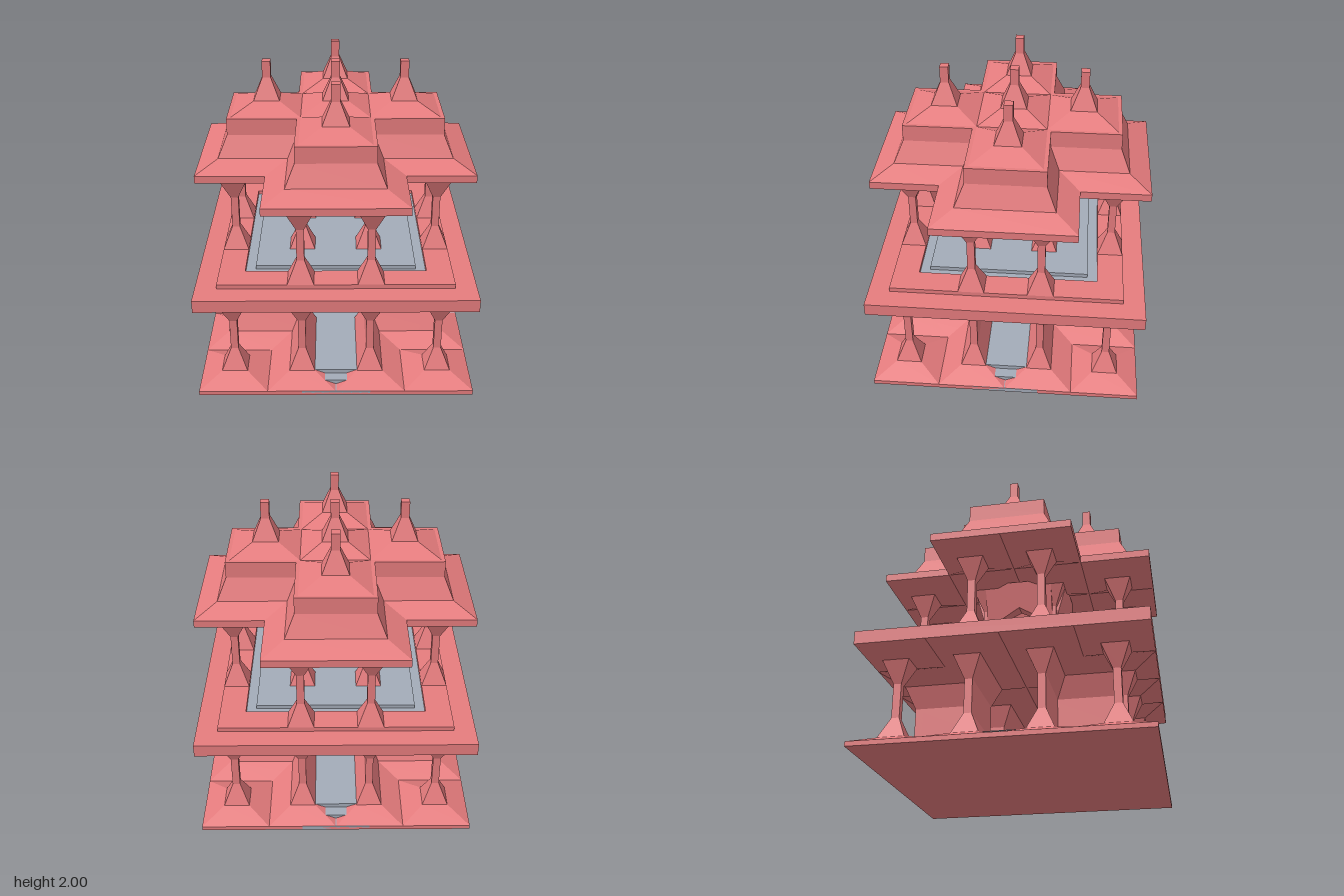
import * as THREE from 'three';

const red = new THREE.MeshStandardMaterial({ color: 0xe67c7e, flatShading: true });
const grey = new THREE.MeshStandardMaterial({ color: 0xa3abb8, flatShading: true });

// Outlines on the ground plane, all wound the same way
const rect = (hx, hz = hx) => [[hx, -hz], [hx, hz], [-hx, hz], [-hx, -hz]];
const cross = (l, w = l - 0.45) => [
  [l, -w], [l, w], [w, w], [w, l], [-w, l], [-w, w],
  [-l, w], [-l, -w], [-w, -w], [-w, -l], [w, -l], [w, -w],
];

// Stack of outlines joined by flat sides and closed with caps; levels are [outline, y]
function loft(levels) {
  const pos = [];
  const put = (loop, y, i) => pos.push(loop[i][0], y, loop[i][1]);
  for (let k = 0; k < levels.length - 1; k++) {
    const [lo, y0] = levels[k], [hi, y1] = levels[k + 1];
    lo.forEach((_, i) => {
      const j = (i + 1) % lo.length;
      put(lo, y0, i); put(hi, y1, i); put(hi, y1, j);
      put(lo, y0, i); put(hi, y1, j); put(lo, y0, j);
    });
  }
  const cap = ([loop, y], up) => {
    const contour = loop.map(([x, z]) => new THREE.Vector2(x, z));
    for (const [a, b, c] of THREE.ShapeUtils.triangulateShape(contour, [])) {
      for (const i of up ? [c, b, a] : [a, b, c]) put(loop, y, i);
    }
  };
  cap(levels[0], false);
  cap(levels[levels.length - 1], true);
  const geo = new THREE.BufferGeometry();
  geo.setAttribute('position', new THREE.Float32BufferAttribute(pos, 3));
  geo.computeVertexNormals();
  return geo;
}

// Half-width and height pairs
const LOWER = [[0.225, 0.03], [0.085, 0.09], [0.025, 0.23], [0.025, 0.45], [0.085, 0.59], [0.225, 0.65]];
const UPPER = [[0.085, 0.765], [0.025, 0.91], [0.025, 1.13], [0.085, 1.27], [0.225, 1.33]];
const SPIRE = [[0.225, 1.69], [0.085, 1.75], [0.028, 1.89], [0.028, 2]];
const post = (profile, ex = 0, ez = 0) => loft(profile.map(([h, y]) => [rect(h + ex, h + ez), y]));
const block = (hx, hz, y0, y1) => loft([[rect(hx, hz), y0], [rect(hx, hz), y1]]);

export function createModel() {
  const root = new THREE.Group();
  const add = (name, geo, mat = red, x = 0, z = 0, parent = root) => {
    const mesh = new THREE.Mesh(geo, mat);
    mesh.name = name;
    mesh.position.set(x, 0, z);
    parent.add(mesh);
    return mesh;
  };
  const group = (name) => {
    const g = new THREE.Group();
    g.name = name;
    root.add(g);
    return g;
  };

  // Ground plate and cross-shaped floor with three steps at each entrance
  add('basePlate', block(0.9, 0.9, 0, 0.03));
  const steps = group('entranceFloor');
  [0.9, 0.825, 0.75].forEach((reach, i) => {
    const y0 = i * 0.03 + 0.001, y1 = (i + 1) * 0.03 + 0.001;
    add('stepAlongZ', block(0.225, reach, y0, y1), grey, 0, 0, steps);
    add('stepAlongX', block(reach, 0.225, y0, y1), grey, 0, 0, steps);
  });

  // Lower storey: a four by four grid of flared pillars
  const spots = [-0.675, -0.225, 0.225, 0.675];
  const lowerPillars = group('lowerPillars');
  const upperPillars = group('upperPillars');
  const lowerGeo = post(LOWER), upperGeo = post(UPPER);
  for (const x of spots) {
    for (const z of spots) {
      add('lowerPillar', lowerGeo, red, x, z, lowerPillars);
      // The upper storey leaves out the four corners
      if (Math.abs(x) + Math.abs(z) < 1.2) add('upperPillar', upperGeo, red, x, z, upperPillars);
    }
  }

  // Flared walls on the inner sides of the corner porches
  const walls = group('walls');
  const wallX = post(LOWER, 0.225, 0), wallZ = post(LOWER, 0, 0.225);
  for (const sx of [-1, 1]) {
    for (const sz of [-1, 1]) {
      add('wallAlongX', wallX, red, sx * 0.45, sz * 0.225, walls);
      add('wallAlongZ', wallZ, red, sx * 0.225, sz * 0.45, walls);
    }
  }

  // Upper slab, raised rim and stepped floor
  add('upperSlab', block(0.9, 0.9, 0.65, 0.735));
  const rim = group('rim');
  for (const s of [-1, 1]) {
    add('rimLong', block(0.76, 0.085, 0.735, 0.765), red, 0, s * 0.675, rim);
    add('rimShort', block(0.085, 0.59, 0.735, 0.765), red, s * 0.675, 0, rim);
  }
  add('upperFloorStep', block(0.59, 0.59, 0.73, 0.738), grey);
  add('upperFloor', block(0.525, 0.525, 0.735, 0.765), grey);

  // Gabled lintels between the four inner pillars, thickening upwards
  const gable = new THREE.Shape([
    [-0.225, 1.02], [-0.2, 1.02], [0, 1.13], [0.2, 1.02], [0.225, 1.02], [0.225, 1.3], [-0.225, 1.3],
  ].map(([x, y]) => new THREE.Vector2(x, y)));
  const lintelGeo = new THREE.ExtrudeGeometry(gable, { depth: 2, bevelEnabled: false }).translate(0, 0, -1);
  const p = lintelGeo.attributes.position;
  for (let i = 0; i < p.count; i++) {
    p.setZ(i, p.getZ(i) * (0.015 + (p.getY(i) - 1.02) * 0.28));
  }
  lintelGeo.computeVertexNormals();
  const lintels = group('lintels');
  for (const s of [-1, 1]) {
    add('lintelAlongX', lintelGeo, red, 0, s * 0.225, lintels);
    add('lintelAlongZ', lintelGeo, red, s * 0.225, 0, lintels).rotation.y = Math.PI / 2;
  }

  // Cross-shaped roof with wide eaves
  const roofProfile = [[0.9, 1.33], [0.9, 1.38], [0.76, 1.44], [0.7, 1.58], [0.7, 1.69]];
  add('roof', loft(roofProfile.map(([l, y]) => [cross(l), y])));

  // Five spires
  const spires = group('spires');
  const spireGeo = post(SPIRE);
  for (const [x, z] of [[0, 0], [0.45, 0], [-0.45, 0], [0, 0.45], [0, -0.45]]) {
    add('spire', spireGeo, red, x, z, spires);
  }
  return root;
}
